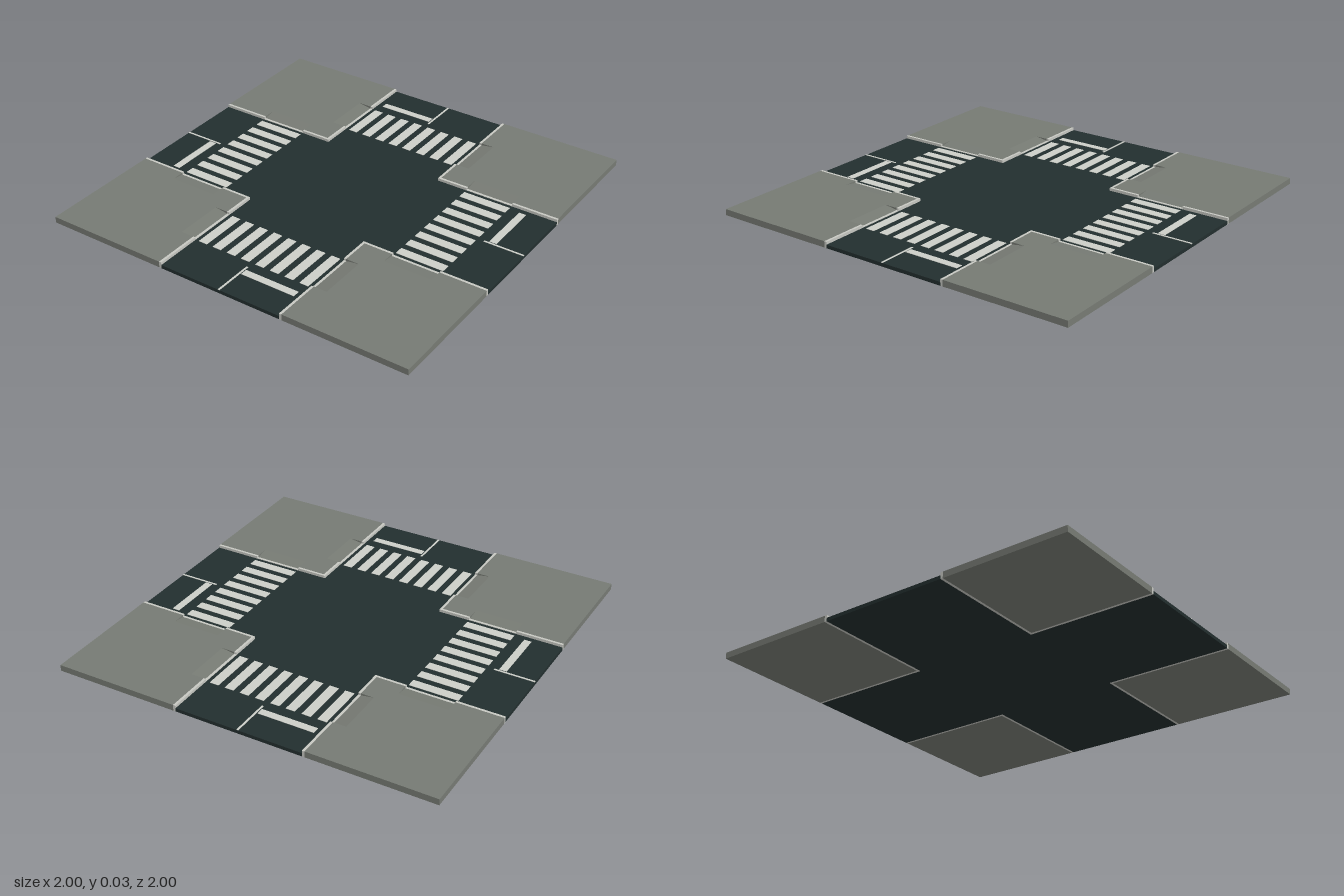
import * as THREE from 'three';

const ROAD = 0.335, KERB = 0.348, ROAD_H = 0.018, WALK_H = 0.032;
const R0 = 0.5, R1 = 0.755, RAMP_END = 0.417, LIP = 0.021;

export function createModel() {
  const mat = (name, color) => {
    const m = new THREE.MeshStandardMaterial({ color });
    m.name = name;
    return m;
  };
  const asphalt = mat('asphalt', 0x222e2e);
  const concrete = mat('concrete', 0x767a73);
  const kerbStone = mat('kerbStone', 0xc6c7c1);
  const paint = mat('paint', 0xcccec7);

  const model = new THREE.Group();
  model.name = 'crossroads';

  const mesh = (parent, name, geo, material) => {
    const m = new THREE.Mesh(geo, material);
    m.name = name;
    parent.add(m);
    return m;
  };
  // Box given by its extents
  const slab = (parent, name, material, x0, x1, y0, y1, z0, z1) =>
    mesh(parent, name, new THREE.BoxGeometry(x1 - x0, y1 - y0, z1 - z0), material)
      .position.set((x0 + x1) / 2, (y0 + y1) / 2, (z0 + z1) / 2);
  const extrude = (pts, depth) => new THREE.ExtrudeGeometry(
    new THREE.Shape(pts.map(([x, y]) => new THREE.Vector2(x, y))),
    { depth, bevelEnabled: false });
  // Plan outline (x, z) standing on the ground
  const plan = (pts, h) => extrude(pts, h).rotateX(Math.PI / 2).translate(0, h, 0);

  // Cross-shaped road
  const r = ROAD;
  mesh(model, 'road', plan([
    [-r, -1], [r, -1], [r, -r], [1, -r], [1, r], [r, r],
    [r, 1], [-r, 1], [-r, r], [-1, r], [-1, -r], [-r, -r],
  ], ROAD_H), asphalt);

  for (let i = 0; i < 4; i++) {
    // Pavement corner with notches for the two dropped kerbs
    const corner = new THREE.Group();
    corner.name = 'pavementCorner' + (i + 1);
    corner.rotation.y = i * Math.PI / 2;
    model.add(corner);
    const k = KERB, e = RAMP_END;
    mesh(corner, 'pavement', plan([
      [k, k], [R0, k], [R0, e], [R1, e], [R1, k], [1, k], [1, 1],
      [k, 1], [k, R1], [e, R1], [e, R0], [k, R0],
    ], WALK_H), concrete);

    // Sloping ramps down to the crossings
    const wedge = [[k, 0], [e, 0], [e, WALK_H], [k, LIP]];
    mesh(corner, 'rampAlongX', extrude(wedge, R1 - R0)
      .rotateY(-Math.PI / 2).translate(R1, 0, 0), concrete);
    mesh(corner, 'rampAlongZ', extrude(wedge, R1 - R0).translate(0, 0, R0), concrete);

    // Kerb edging, lowered at the ramps
    for (const [a, b, h] of [[k, R0, WALK_H], [R0, R1, LIP], [R1, 1, WALK_H]]) {
      slab(corner, 'kerbAlongX', kerbStone, a, b, 0, h, ROAD, k);
      slab(corner, 'kerbAlongZ', kerbStone, ROAD, k, 0, h, a, b);
    }
    slab(corner, 'kerbCorner', kerbStone, ROAD, k, 0, WALK_H, ROAD, k);

    // Painted markings of one road arm
    const arm = new THREE.Group();
    arm.name = 'armMarkings' + (i + 1);
    arm.rotation.y = i * Math.PI / 2;
    model.add(arm);
    const mark = (name, x0, x1, z0, z1) =>
      slab(arm, name, paint, x0, x1, ROAD_H - 0.001, ROAD_H + 0.002, z0, z1);
    for (let s = 0; s < 8; s++) {
      const x = (s - 3.5) * 0.0832;
      mark('crossingStripe', x - 0.024, x + 0.024, R0, R1);
    }
    mark('stopLine', 0.01, 0.305, 0.812, 0.85);
    mark('centreLine', -0.005, 0.005, 0.79, 1);
  }
  return model;
}
